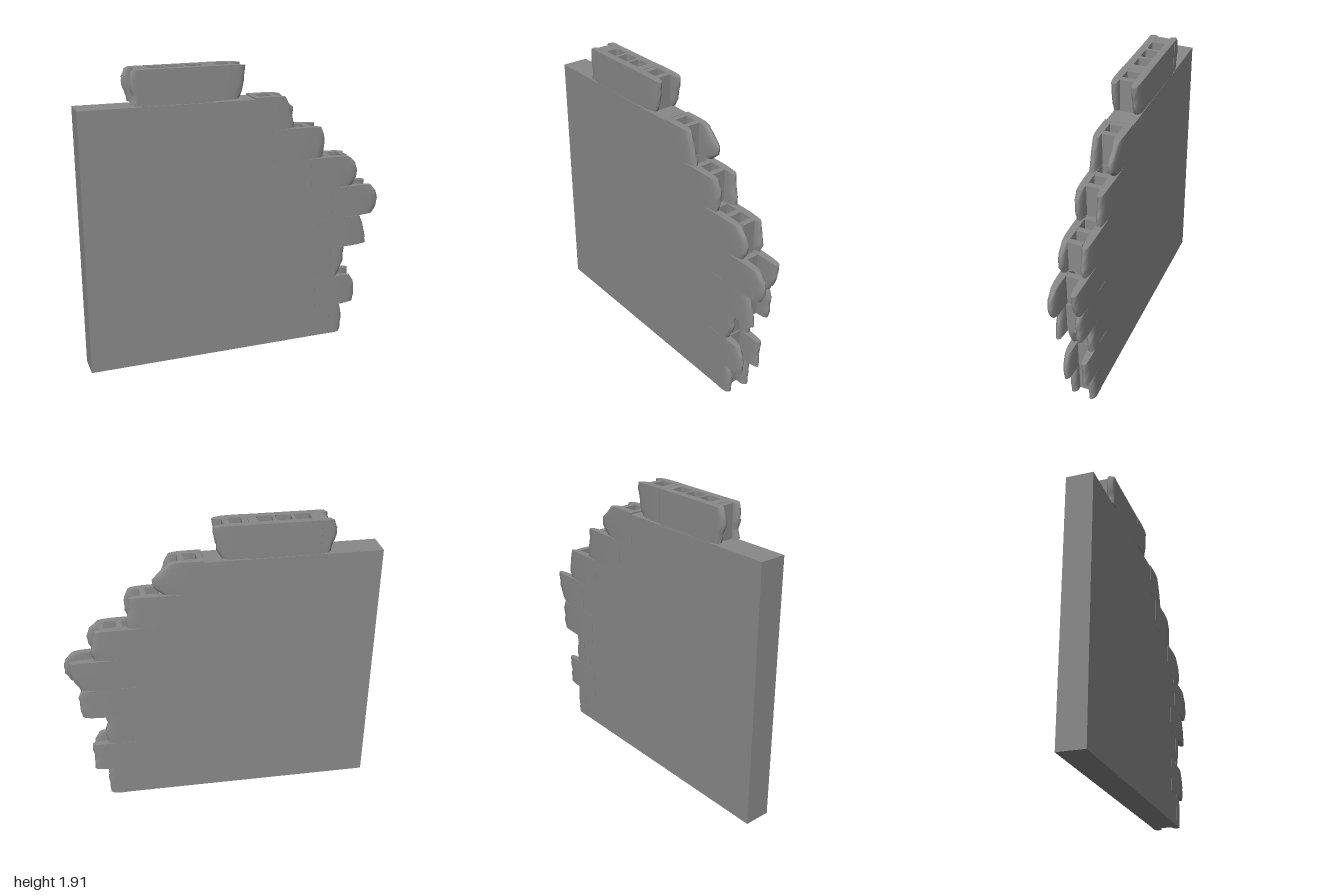
import * as THREE from 'three';
import { toCreasedNormals } from 'three/addons/utils/BufferGeometryUtils.js';

const concrete = new THREE.MeshStandardMaterial({ color: 0x898989 });
concrete.name = 'grey concrete';

const COURSE = 0.2117; // height of one row of blocks
const HALF = 0.088;    // half thickness of the wall
const INNER = 0.042;   // half width of the hollow cells

// Broken blocks by course: start x, then the broken edge of the front and back shells from bottom to top
const blocks = [
  { row: 0, start: 0.655, front: [0.75, 0.755, 0.76, 0.755, 0.74], back: [0.765, 0.765, 0.77, 0.77, 0.765] },
  { row: 1, start: 0.545, front: [0.84, 0.85, 0.85, 0.84, 0.81], back: [0.855, 0.855, 0.85, 0.86, 0.86] },
  { row: 2, start: 0.655, front: [0.71, 0.735, 0.755, 0.755, 0.76], back: [0.755, 0.765, 0.765, 0.75, 0.76] },
  { row: 3, start: 0.555, front: [0.92, 0.915, 0.905, 0.89, 0.87], back: [0.90, 0.915, 0.91, 0.92, 0.90] },
  { row: 4, start: 0.655, front: [0.96, 0.99, 0.995, 0.985, 0.94], back: [0.90, 0.93, 0.95, 0.955, 0.96] },
  { row: 5, start: 0.495, front: [0.80, 0.83, 0.835, 0.82, 0.77], back: [0.80, 0.82, 0.81, 0.80, 0.79] },
  { row: 6, start: 0.225, front: [0.57, 0.585, 0.59, 0.585, 0.56], back: [0.585, 0.59, 0.575, 0.57, 0.57] },
  { row: 7, start: 0.105, front: [0.375, 0.365, 0.35, 0.335, 0.31], back: [0.36, 0.415, 0.42, 0.37, 0.32] },
  { row: 8, start: -0.17, front: [0.00, 0.02, 0.03, 0.035, 0.04], back: [0.00, 0.03, 0.035, 0.05, 0.05] },
  { row: 8, start: -0.605, front: [-0.68, -0.665, -0.68, -0.68, -0.67], back: [-0.67, -0.68, -0.70, -0.70, -0.68] },
];

function add(group, geometry, name) {
  const mesh = new THREE.Mesh(geometry, concrete);
  mesh.name = name;
  group.add(mesh);
  return mesh;
}

// Value of the broken edge at height v (0 to 1)
function edgeAt(edge, v) {
  const f = v * (edge.length - 1);
  const i = Math.min(Math.floor(f), edge.length - 2);
  return THREE.MathUtils.lerp(edge[i], edge[i + 1], f - i);
}

// Face shell: a box stretched out to the broken edge and worn round at that end
function shellGeometry(start, edge, y0, z0, z1) {
  const geo = new THREE.BoxGeometry(1, 1, 1, 8, 8, 4);
  const p = geo.attributes.position;
  const dir = Math.sign(edge[2] - start);
  const yMid = y0 + COURSE / 2, zMid = (z0 + z1) / 2;
  for (let i = 0; i < p.count; i++) {
    const u = p.getX(i) + 0.5, v = p.getY(i) + 0.5, w = p.getZ(i);
    const t = dir > 0 ? u : 1 - u;
    const wear = t ** 5;
    const end = edgeAt(edge, v);
    const bulge = wear * (0.05 * w * w + 0.002 * Math.sin(v * 17 + w * 9 + start * 30));
    const slope = 1 - 0.32 * wear;
    p.setXYZ(i,
      THREE.MathUtils.lerp(start, end, t) - dir * bulge,
      yMid + (v - 0.5) * COURSE * (1 - 0.06 * wear),
      zMid + w * (z1 - z0) * slope);
  }
  return toCreasedNormals(geo, 0.9);
}

// Two face shells joined by cross webs, leaving open cells between them
function brokenBlock({ row, start, front, back }) {
  const block = new THREE.Group();
  block.name = 'brokenBlock';
  const y0 = row * COURSE;
  add(block, shellGeometry(start, front, y0, INNER, HALF), 'frontShell');
  add(block, shellGeometry(start, back, y0, -HALF, -INNER), 'backShell');
  const dir = Math.sign(front[2] - start);
  const reach = Math.min(...front.map((x, i) => Math.min(dir * (x - start), dir * (back[i] - start))));
  for (let d = 0.02; d < reach - 0.015; d += 0.116) {
    const web = add(block, new THREE.BoxGeometry(0.036, COURSE - 0.004, INNER * 2 + 0.004), 'web');
    web.position.set(start + dir * d, y0 + COURSE / 2, 0);
  }
  return block;
}

// Rounded rectangle path for one hollow cell
function cellPath(cx, w, h, r) {
  const s = new THREE.Path();
  const x = w / 2, y = h / 2;
  s.moveTo(cx - x + r, -y);
  s.lineTo(cx + x - r, -y).quadraticCurveTo(cx + x, -y, cx + x, -y + r);
  s.lineTo(cx + x, y - r).quadraticCurveTo(cx + x, y, cx + x - r, y);
  s.lineTo(cx - x + r, y).quadraticCurveTo(cx - x, y, cx - x, y - r);
  s.lineTo(cx - x, -y + r).quadraticCurveTo(cx - x, -y, cx - x + r, -y);
  return s;
}

export function createModel() {
  const model = new THREE.Group();
  model.name = 'brokenWall';

  // Solid wall with a stepped edge that follows the starts of the broken blocks
  const outline = new THREE.Shape();
  outline.moveTo(-1, 0);
  for (const { row, start } of blocks.slice(0, 8)) {
    outline.lineTo(start, row * COURSE);
    outline.lineTo(start, (row + 1) * COURSE);
  }
  outline.lineTo(0.105, 8 * COURSE - 0.01);
  outline.lineTo(-1, 8 * COURSE - 0.005);
  const wall = new THREE.ExtrudeGeometry(outline, { depth: 0.172, bevelEnabled: false });
  wall.translate(0, 0, -0.086);
  add(model, wall, 'wall');

  // Intact top course with a row of hollow cells
  const top = new THREE.Shape();
  top.moveTo(-0.605, -0.086);
  top.lineTo(-0.17, -0.086);
  top.lineTo(-0.17, 0.086);
  top.lineTo(-0.605, 0.086);
  for (const cx of [-0.503, -0.387, -0.271]) top.holes.push(cellPath(cx, 0.096, 0.082, 0.018));
  const course = new THREE.ExtrudeGeometry(top, { depth: COURSE + 0.006, bevelEnabled: false, curveSegments: 4 });
  course.rotateX(-Math.PI / 2);
  course.translate(0, 8 * COURSE - 0.006, 0);
  add(model, course, 'topCourse');

  for (const block of blocks) model.add(brokenBlock(block));
  return model;
}
